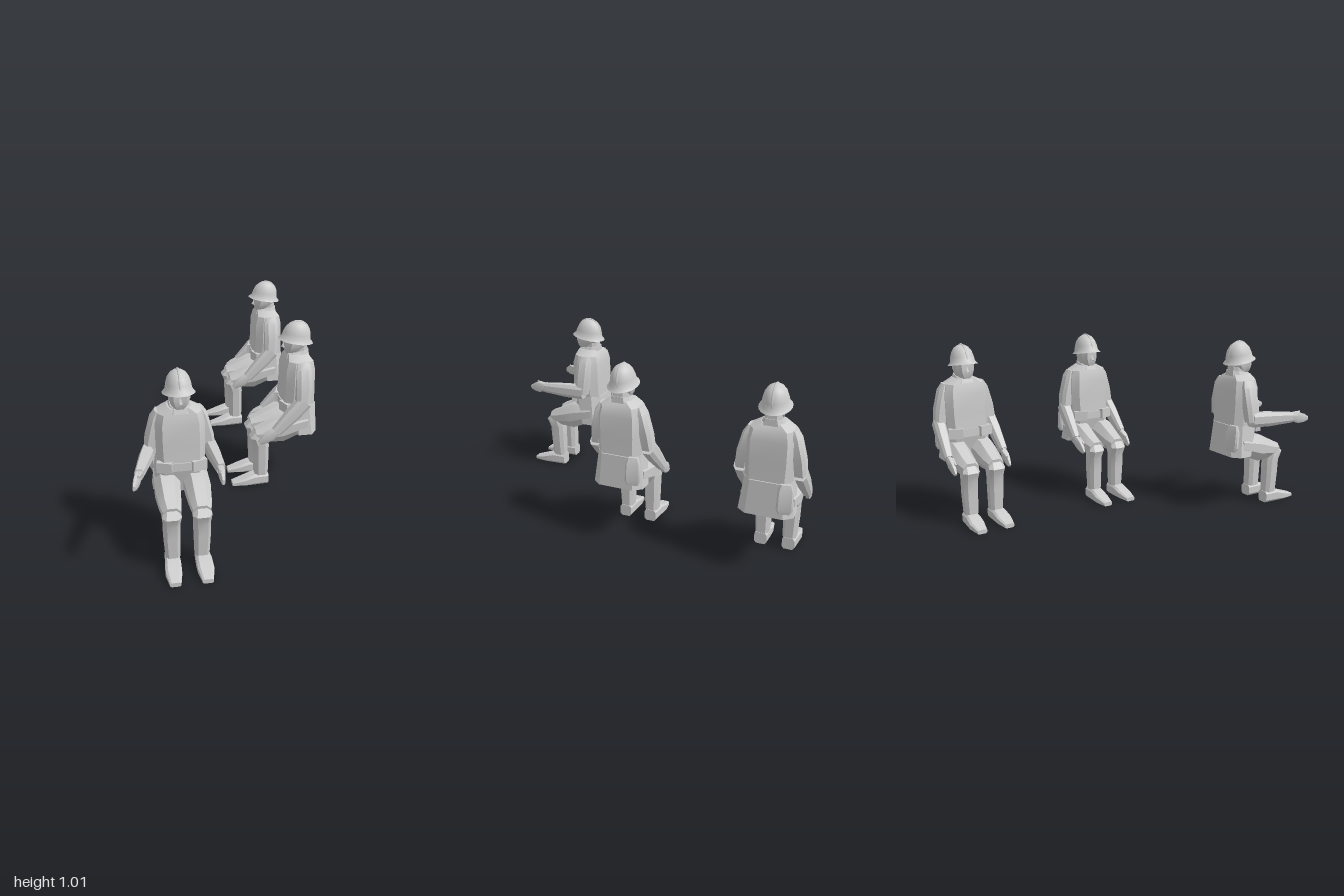
import * as THREE from 'three';
import { toCreasedNormals } from 'three/addons/utils/BufferGeometryUtils.js';

const material = new THREE.MeshStandardMaterial({ color: 0xcccccc });
const openMaterial = new THREE.MeshStandardMaterial({ color: 0xcccccc, side: THREE.DoubleSide });

// Chamfered-rectangle tube through sections [x, y, z, halfWidth, halfDepth, tilt].
// Tilt in degrees: 0 heads up, 90 heads forward, 180 heads down.
function loft(name, sections, cu = 0.6, cv = 0.5) {
  const outline = [[cu, 1], [1, cv], [1, -cv], [cu, -1], [-cu, -1], [-1, -cv], [-1, cv], [-cu, 1]];
  const n = outline.length, pos = [], idx = [];
  for (const [x, y, z, hw, hd, tilt = 0] of sections) {
    const t = tilt * Math.PI / 180;
    for (const [u, v] of outline) {
      pos.push(x + u * hw, y - v * hd * Math.sin(t), z + v * hd * Math.cos(t));
    }
  }
  const last = (sections.length - 1) * n;
  for (let i = 0; i < last; i += n) {
    for (let j = 0; j < n; j++) {
      const k = (j + 1) % n;
      idx.push(i + j, i + k, i + n + k, i + j, i + n + k, i + n + j);
    }
  }
  for (let j = 1; j < n - 1; j++) {
    idx.push(0, j + 1, j, last, last + j, last + j + 1);
  }
  const geo = new THREE.BufferGeometry();
  geo.setAttribute('position', new THREE.Float32BufferAttribute(pos, 3));
  geo.setIndex(idx);
  const mesh = new THREE.Mesh(toCreasedNormals(geo, 0.45), material);
  mesh.name = name;
  return mesh;
}

function box(name, w, h, d, x, y, z, turn = 0) {
  const mesh = new THREE.Mesh(new THREE.BoxGeometry(w, h, d), material);
  mesh.name = name;
  mesh.position.set(x, y, z);
  mesh.rotation.y = turn;
  return mesh;
}

function makeHead() {
  const head = new THREE.Group();
  head.name = 'head';
  head.add(loft('neck', [[0, 0.79, -0.02, 0.044, 0.048], [0, 0.9, -0.015, 0.042, 0.046]]));
  head.add(loft('face', [
    [0, 0.81, 0.035, 0.025, 0.022, -8], [0, 0.83, 0.022, 0.042, 0.044, -8],
    [0, 0.865, 0.004, 0.054, 0.066], [0, 0.925, 0, 0.055, 0.068],
  ]));
  const nose = new THREE.Mesh(new THREE.ConeGeometry(0.013, 0.045, 4), material);
  nose.name = 'nose';
  nose.position.set(0, 0.871, 0.069);
  nose.rotation.x = -0.25;
  head.add(nose);

  // Brimmed helmet, longer than wide, with a ridge along the top
  const helmet = new THREE.Group();
  helmet.name = 'helmet';
  const profile = [[0.084, 0], [0.069, 0.018], [0.065, 0.045], [0.056, 0.076], [0.04, 0.1], [0.02, 0.113], [0, 0.117]]
    .map(([r, y]) => new THREE.Vector2(r, y));
  const shell = new THREE.Mesh(new THREE.LatheGeometry(profile, 20), openMaterial);
  shell.name = 'helmetShell';
  shell.scale.z = 1.26;
  const ridge = new THREE.Mesh(new THREE.TorusGeometry(0.08, 0.006, 6, 18, Math.PI), material);
  ridge.name = 'helmetRidge';
  ridge.rotation.y = Math.PI / 2;
  ridge.scale.y = 1.18;
  ridge.position.y = 0.022;
  helmet.add(shell, ridge);
  helmet.position.set(0, 0.886, 0.002);
  helmet.rotation.x = -0.16;
  head.add(helmet);
  return head;
}

function makeBody() {
  const body = new THREE.Group();
  body.name = 'body';
  body.add(loft('jacket', [
    [0, 0.5, -0.013, 0.122, 0.092], [0, 0.62, -0.014, 0.126, 0.086], [0, 0.73, -0.014, 0.126, 0.085],
    [0, 0.785, -0.015, 0.112, 0.073], [0, 0.815, -0.008, 0.06, 0.058],
  ], 0.74, 0.5));
  body.add(loft('collar', [[0, 0.797, -0.006, 0.06, 0.068, 6], [0, 0.828, -0.01, 0.047, 0.062, 10]]));
  body.add(loft('coatSkirt', [[0, 0.335, -0.045, 0.145, 0.077], [0, 0.52, -0.016, 0.123, 0.095]], 0.68, 0.5));
  body.add(box('belt', 0.12, 0.045, 0.02, 0, 0.502, 0.073));
  for (const s of [1, -1]) {
    body.add(box('beltPouch', 0.08, 0.058, 0.03, s * 0.088, 0.505, 0.072, s * 0.35));
  }
  // Satchel on the right hip
  const bag = loft('satchel', [[0, -0.08, 0, 0.03, 0.012], [0, -0.055, 0, 0.042, 0.018],
    [0, 0.04, 0, 0.04, 0.018], [0, 0.075, 0, 0.028, 0.01]], 0.8, 0.5);
  bag.position.set(-0.105, 0.455, -0.123);
  bag.rotation.set(0.08, 0.25, 0);
  body.add(bag);
  return body;
}

function makeLeg(s) {
  const leg = new THREE.Group();
  leg.name = s > 0 ? 'leftLeg' : 'rightLeg';
  leg.add(loft('thigh', [
    [s * 0.07, 0.405, -0.06, 0.07, 0.06, 90], [s * 0.078, 0.367, 0.085, 0.066, 0.08, 95],
    [s * 0.077, 0.342, 0.19, 0.056, 0.053, 98], [s * 0.075, 0.335, 0.245, 0.046, 0.036, 100],
  ], 0.5, 0.35));
  leg.add(loft('shin', [
    [s * 0.076, 0.065, 0.208, 0.037, 0.04], [s * 0.078, 0.18, 0.21, 0.042, 0.043],
    [s * 0.078, 0.265, 0.212, 0.043, 0.045], [s * 0.077, 0.318, 0.226, 0.05, 0.053],
    [s * 0.077, 0.358, 0.215, 0.038, 0.03],
  ]));
  leg.add(loft('boot', [
    [s * 0.078, 0.034, 0.165, 0.035, 0.034, 90], [s * 0.08, 0.035, 0.25, 0.041, 0.035, 90],
    [s * 0.082, 0.024, 0.31, 0.042, 0.024, 90], [s * 0.082, 0.012, 0.386, 0.028, 0.012, 90],
  ], 0.7, 0.6));
  return leg;
}

// Forearm goes from the elbow to the wrist, then the flat hand reaches the tip
function makeArm(s, wrist, tip, tilt) {
  const arm = new THREE.Group();
  arm.name = s > 0 ? 'leftArm' : 'rightArm';
  arm.add(loft('upperArm', [
    [s * 0.104, 0.787, -0.022, 0.018, 0.034, 180], [s * 0.113, 0.75, -0.024, 0.033, 0.045, 180],
    [s * 0.138, 0.64, -0.022, 0.037, 0.045, 180], [s * 0.15, 0.555, -0.016, 0.034, 0.04, 170],
  ]));
  const elbow = [s * 0.154, 0.563, -0.03];
  const mix = (a, b, k) => a.map((v, i) => v + (b[i] - v) * k);
  arm.add(loft('forearm', [
    [...elbow, 0.033, 0.042, tilt], [...mix(elbow, wrist, 0.4), 0.032, 0.042, tilt], [...wrist, 0.022, 0.03, tilt],
  ]));
  arm.add(loft('hand', [
    [...mix(elbow, wrist, 0.97), 0.015, 0.022, tilt], [...mix(wrist, tip, 0.4), 0.016, 0.033, tilt],
    [...mix(wrist, tip, 0.75), 0.012, 0.025, tilt], [...tip, 0.007, 0.012, tilt],
  ]));
  const t = tilt * Math.PI / 180;
  const raise = ([x, y, z], h) => [x - s * 0.012, y + h * Math.sin(t), z - h * Math.cos(t)];
  arm.add(loft('thumb', [
    [...raise(mix(wrist, tip, 0.1), 0.015), 0.01, 0.012, tilt],
    [...raise(mix(wrist, tip, 0.6), 0.032), 0.006, 0.007, tilt],
  ]));
  return arm;
}

function makeSoldier(name, reaching) {
  const soldier = new THREE.Group();
  soldier.name = name;
  soldier.add(makeHead(), makeBody());
  for (const s of [1, -1]) {
    soldier.add(makeLeg(s));
    if (!reaching) soldier.add(makeArm(s, [s * 0.166, 0.385, 0.14], [s * 0.163, 0.315, 0.237], 138));
  }
  if (reaching) {
    soldier.add(makeArm(1, [0.172, 0.565, 0.24], [0.165, 0.555, 0.35], 90));
    soldier.add(makeArm(-1, [-0.226, 0.562, 0.22], [-0.258, 0.55, 0.325], 90));
  }
  return soldier;
}

export function createModel() {
  const group = new THREE.Group();
  group.name = 'seatedSoldiers';

  const reaching = makeSoldier('reachingSoldier', true);
  reaching.position.set(-0.319, 0, 0.612);
  group.add(reaching);

  // Two more sit side by side with hands on knees, facing -x
  for (const z of [0.012, -0.807]) {
    const soldier = makeSoldier('restingSoldier', false);
    soldier.position.set(0.44, 0, z);
    soldier.rotation.y = -Math.PI / 2;
    group.add(soldier);
  }
  return group;
}
